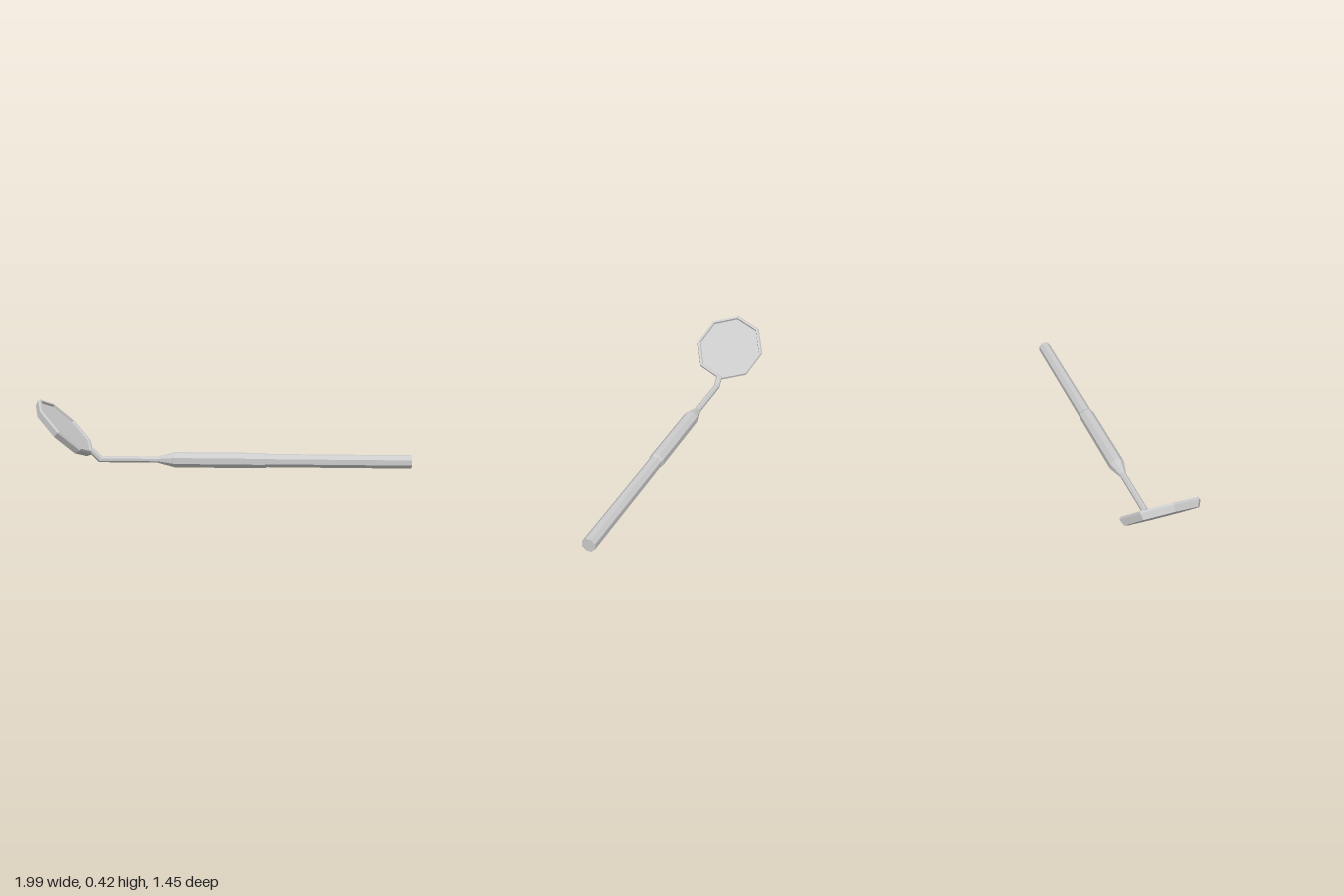
import * as THREE from 'three';

const material = new THREE.MeshStandardMaterial({ color: 0xcccccc, flatShading: true });

// Eight-sided turned solid from [radius, height] pairs
function turned(profile) {
  return new THREE.LatheGeometry(profile.map(([r, h]) => new THREE.Vector2(r, h)), 8);
}

// The same, lying along +x with a flat side up
function rod(profile) {
  return turned(profile).rotateY(Math.PI / 8).rotateZ(-Math.PI / 2);
}

function add(parent, name, geometry, x, y, z) {
  const mesh = new THREE.Mesh(geometry, material);
  mesh.name = name;
  mesh.position.set(x, y, z);
  parent.add(mesh);
  return mesh;
}

export function createModel() {
  const model = new THREE.Group();
  model.name = 'inspectionMirror';

  // Everything is laid out along x, then turned diagonally
  const tool = new THREE.Group();
  tool.name = 'tool';
  tool.rotation.y = Math.PI + 0.603;
  model.add(tool);

  const axisY = 0.046, axisZ = 0.019;

  // Slim rear handle
  add(tool, 'handle', rod([[0, -1.197], [0.042, -1.197], [0.042, -0.28], [0, -0.28]]), 0, axisY, axisZ);

  // Thicker grip tapering to the neck
  add(tool, 'grip', rod([
    [0, -0.315], [0.042, -0.315], [0.0485, -0.295], [0.0485, 0.26], [0.021, 0.365], [0, 0.365],
  ]), 0, axisY, axisZ);

  // Thin neck, with its last stretch bent up 45 degrees
  const bend = 0.727, arm = 0.075, angle = Math.PI / 4;
  const neck = rod([[0.02, 0.355], [0.02, bend], [0.02, bend + arm], [0, bend + arm]]);
  const p = neck.attributes.position;
  for (let i = 0; i < p.count; i++) {
    const along = p.getX(i) - bend, y = p.getY(i);
    if (along > 0.01) {
      p.setX(i, bend + along * Math.cos(angle) - y * Math.sin(angle));
      p.setY(i, along * Math.sin(angle) + y * Math.cos(angle));
    } else if (along > -0.01) {
      p.setX(i, bend - y * Math.tan(angle / 2));
    }
  }
  add(tool, 'neck', neck, 0, axisY, axisZ);

  // Tilted mirror: backing narrower than the rim, glass slightly sunk
  const head = new THREE.Group();
  head.name = 'mirrorHead';
  head.position.set(0.953, 0.236, 0.028);
  head.rotation.z = angle;
  tool.add(head);
  add(head, 'mirrorRim', turned([
    [0, -0.025], [0.222, -0.025], [0.238, 0.012], [0.232, 0.025], [0.217, 0.025], [0.213, 0.012],
  ]), 0, 0, 0);
  add(head, 'mirrorGlass', turned([[0.214, 0.012], [0, 0.012]]), 0, 0, 0);

  return model;
}
